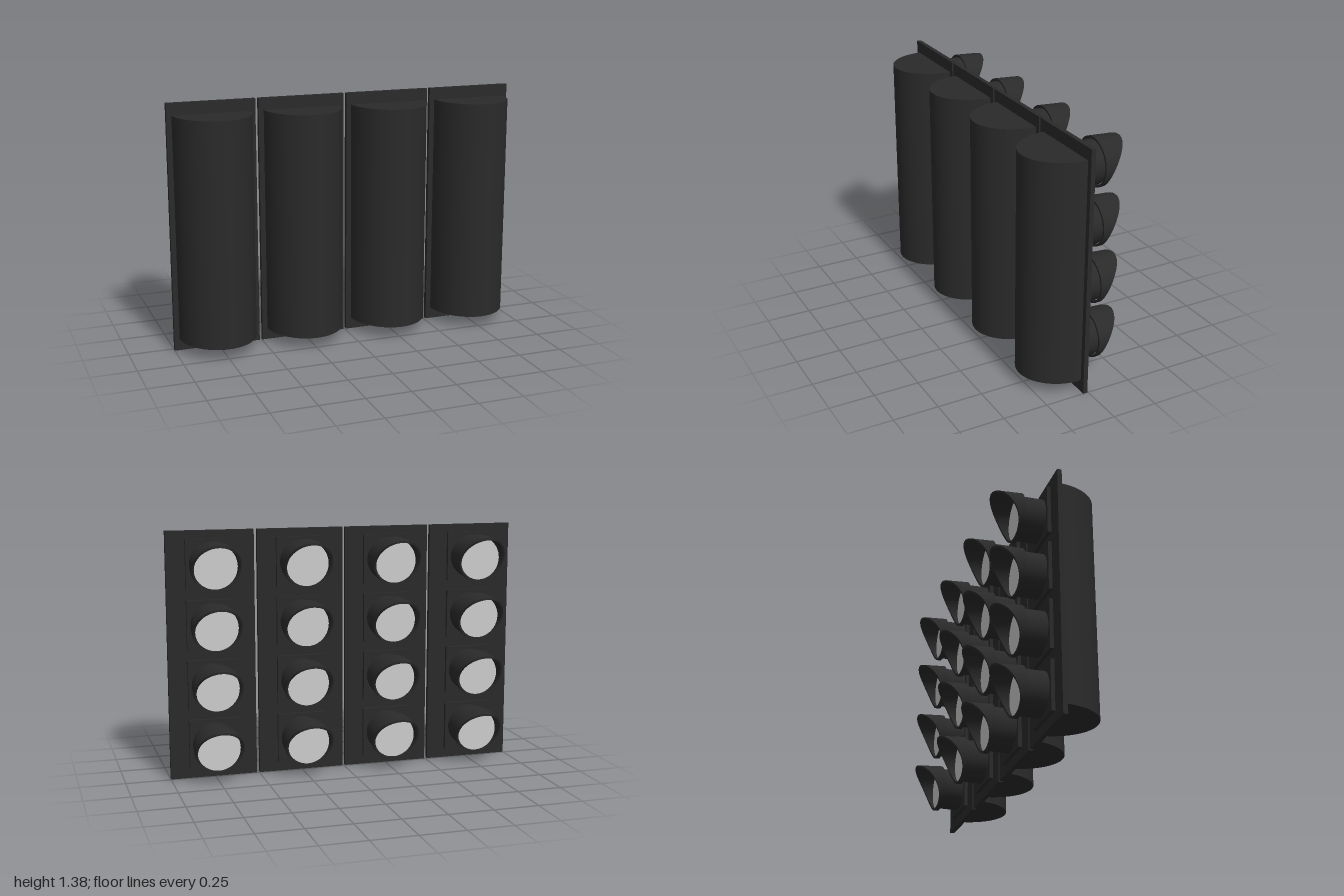
import * as THREE from 'three';
import { toCreasedNormals } from 'three/addons/utils/BufferGeometryUtils.js';

const HEIGHT = 1.377;
const dark = new THREE.MeshStandardMaterial({ color: 0x2a2a2a });
const grey = new THREE.MeshStandardMaterial({ color: 0xcccccc });

function part(name, geometry, material, x = 0, y = 0, z = 0) {
  const mesh = new THREE.Mesh(geometry, material);
  mesh.name = name;
  mesh.position.set(x, y, z);
  return mesh;
}

// Thick ring whose rear rim is swept out into a long upper hood
function visorGeometry() {
  const outer = 0.134, inner = 0.122, start = 0.132, end = 0.2;
  const profile = [[inner, start], [outer, start], [outer, end], [inner, end], [inner, start]]
    .map(([r, y]) => new THREE.Vector2(r, y));
  const geo = new THREE.LatheGeometry(profile, 40);
  geo.rotateX(-Math.PI / 2);
  const p = geo.attributes.position;
  for (let i = 0; i < p.count; i++) {
    if (p.getZ(i) > -0.15) continue;
    const t = (1 + p.getY(i) / Math.hypot(p.getX(i), p.getY(i))) / 2;
    p.setZ(i, -0.155 - 0.125 * t * t);
    p.setY(i, p.getY(i) - 0.01 * t * t); // slight droop at the tip
  }
  return toCreasedNormals(geo, 0.6);
}

const plateGeo = new THREE.BoxGeometry(0.487, HEIGHT, 0.025);
const bodyGeo = new THREE.CylinderGeometry(1, 1, 1.245, 40, 1, false, -Math.PI / 2, Math.PI);
bodyGeo.scale(0.215, 1, 0.25);
const baseGeo = new THREE.BoxGeometry(0.277, 0.277, 0.03);
const barrelGeo = new THREE.CylinderGeometry(0.118, 0.12, 0.125, 40).rotateX(-Math.PI / 2);
const collarGeo = visorGeometry();
const lensGeo = new THREE.CircleGeometry(0.124, 40).rotateY(Math.PI);

function createLamp() {
  const lamp = new THREE.Group();
  lamp.name = 'lamp';
  lamp.add(
    part('lampBase', baseGeo, dark, 0, 0, 0),
    part('lampBarrel', barrelGeo, dark, 0, 0, -0.0745),
    part('visor', collarGeo, dark),
    part('lens', lensGeo, grey, 0, 0, -0.142)
  );
  return lamp;
}

// One unit: rounded housing in front, backing plate, column of lamps behind
function createSignal() {
  const signal = new THREE.Group();
  signal.name = 'signal';
  signal.add(
    part('backPlate', plateGeo, dark, 0, HEIGHT / 2, 0.0175),
    part('housing', bodyGeo, dark, 0, HEIGHT / 2, 0.029)
  );
  for (let i = 0; i < 4; i++) {
    const lamp = createLamp();
    lamp.position.y = 0.194 + i * 0.3333;
    signal.add(lamp);
  }
  return signal;
}

export function createModel() {
  const model = new THREE.Group();
  model.name = 'signalRow';
  for (let i = 0; i < 4; i++) {
    const signal = createSignal();
    signal.position.x = (i - 1.5) * 0.5043;
    model.add(signal);
  }
  return model;
}
